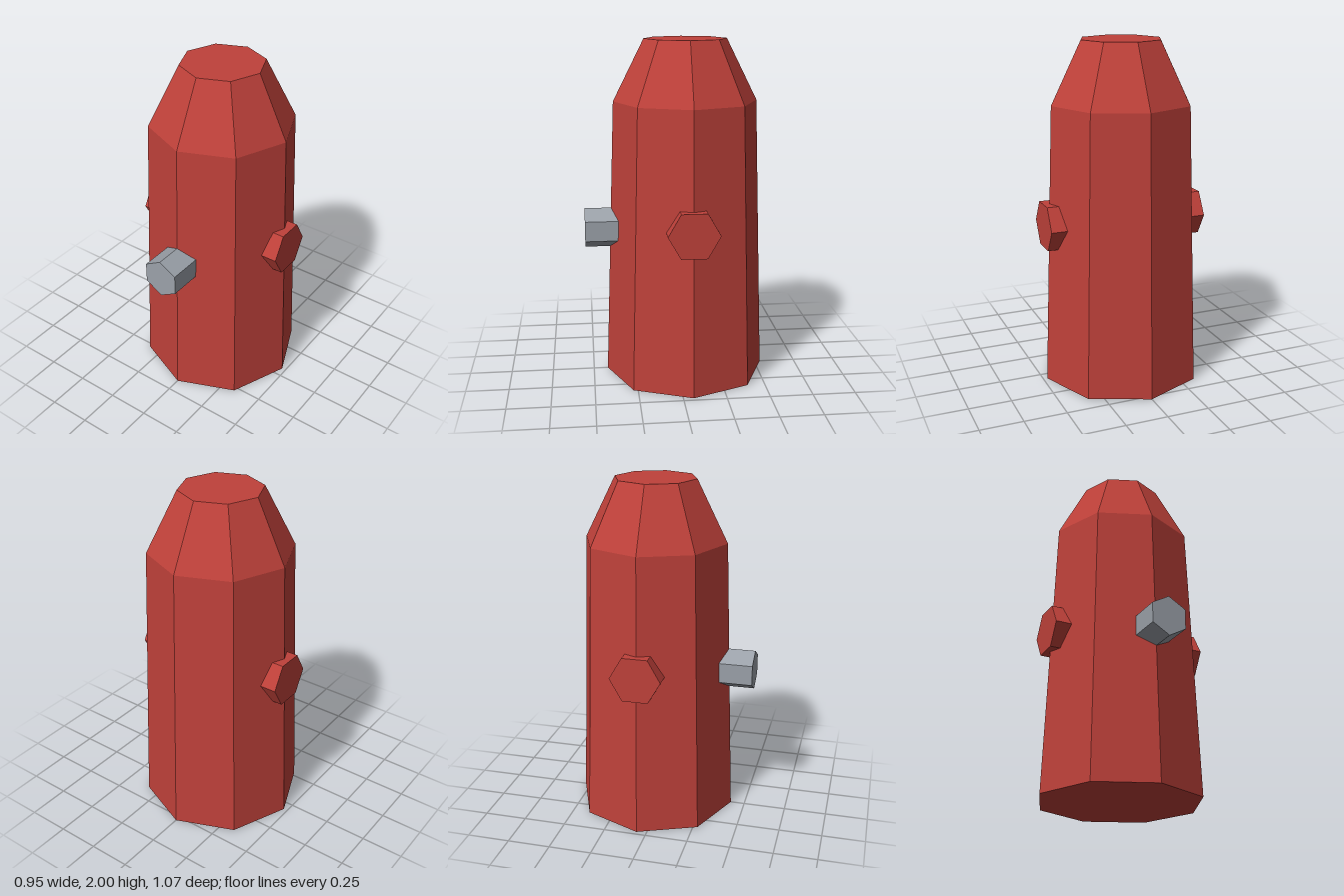
import * as THREE from 'three';

export function createModel() {
  const model = new THREE.Group();
  const red = new THREE.MeshStandardMaterial({ color: 0xbf413a, flatShading: true });
  red.name = 'red paint';
  const grey = new THREE.MeshStandardMaterial({ color: 0x9ba1a9, flatShading: true });
  grey.name = 'grey metal';

  const axisZ = -0.06; // the body sits slightly behind the origin

  function add(name, geometry, material, x, y, z) {
    const mesh = new THREE.Mesh(geometry, material);
    mesh.name = name;
    mesh.position.set(x, y, z);
    model.add(mesh);
  }

  // Eight-sided tapered barrel with a steeper top, closed at both ends
  const profile = [[0, 0], [0.476, 0], [0.418, 1.645], [0.239, 2], [0, 2]]
    .map(([r, y]) => new THREE.Vector2(r, y));
  add('body', new THREE.LatheGeometry(profile, 8), red, 0, 0, axisZ);

  // Hexagonal caps on both sides, sunk into the body
  for (const side of [1, -1]) {
    const cap = new THREE.CylinderGeometry(0.148, 0.148, 0.175, 6).rotateZ(Math.PI / 2);
    add(side > 0 ? 'leftCap' : 'rightCap', cap, red, side * 0.388, 0.958, axisZ);
  }

  // Hexagonal metal outlet on the front
  const outlet = new THREE.CylinderGeometry(0.118, 0.118, 0.235, 6).rotateX(Math.PI / 2);
  add('frontOutlet', outlet, grey, 0, 0.9, 0.418);

  return model;
}
